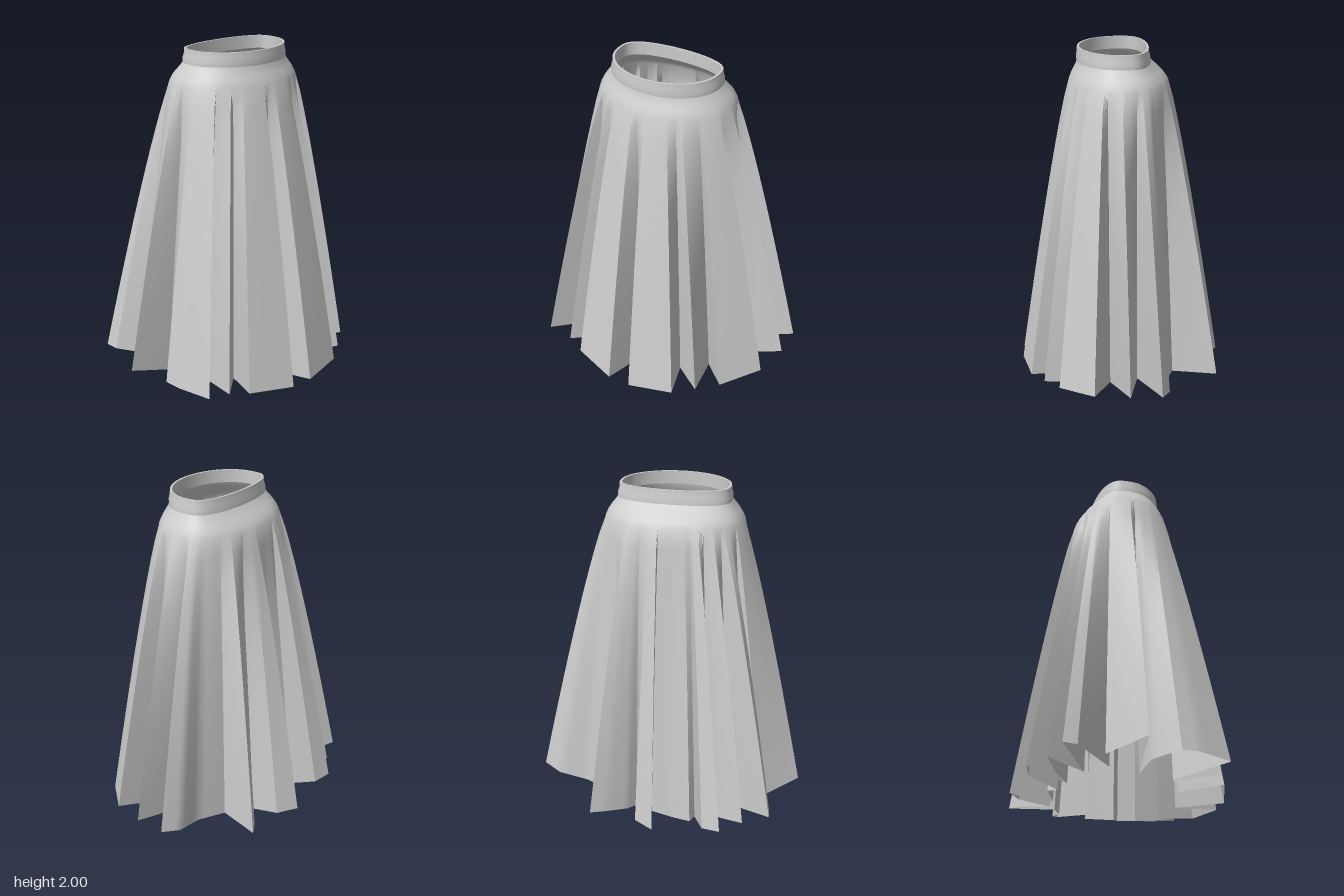
import * as THREE from 'three';
import { toCreasedNormals } from 'three/addons/utils/BufferGeometryUtils.js';

// Hem outline seen from above as x, z pairs: front centre, +x side, back, -x side
const HEM = [
  0.05, 0.61, 0.32, 0.55, 0.25, 0.31, 0.44, 0.47, 0.40, 0.21,
  0.56, 0.38, 0.74, 0.18, 0.42, 0.08, 0.79, -0.02, 0.43, -0.08,
  0.79, -0.20, 0.68, -0.25, 0.50, -0.24, 0.32, -0.30, 0.385, -0.56,
  0.30, -0.51, 0.19, -0.42, 0.15, -0.36, 0.11, -0.54, -0.01, -0.61,
  0.05, -0.37, -0.09, -0.38, -0.20, -0.43, -0.22, -0.38, -0.30, -0.55,
  -0.41, -0.58, -0.29, -0.34, -0.38, -0.42, -0.53, -0.49, -0.40, -0.27,
  -0.68, -0.44, -0.67, -0.36, -0.47, -0.15, -0.60, -0.20, -0.80, -0.02,
  -0.47, 0.01, -0.58, 0.05, -0.70, 0.18, -0.69, 0.28, -0.62, 0.47,
  -0.42, 0.21, -0.47, 0.47, -0.27, 0.28, -0.36, 0.52, -0.09, 0.61,
  -0.02, 0.34,
];
const SUB = 4; // columns per hem edge
const PLEAT_ROWS = 16;

// Point on a waist or hip ring: rounded in front, flatter at the back
function ring(a, { y, rx, front, back, pow = 0.6 }, cx = -0.015) {
  const c = Math.cos(a);
  const z = c > 0 ? front * c : -back * Math.pow(-c, pow);
  return new THREE.Vector3(cx + rx * Math.sin(a), y, z);
}

// Closed tube of quads from rows of points running downwards
function skin(rows, crease) {
  const n = rows[0].length;
  const index = [];
  for (let r = 0; r < rows.length - 1; r++) {
    for (let i = 0; i < n; i++) {
      const j = (i + 1) % n;
      const a = r * n + i, b = r * n + j, c = a + n, d = b + n;
      index.push(a, c, b, b, c, d);
    }
  }
  const geo = new THREE.BufferGeometry().setFromPoints(rows.flat());
  geo.setIndex(index);
  return toCreasedNormals(geo, crease);
}

// Hem corners with heights: higher at the sides, dipping at the back centre
function hemCorners() {
  const pts = [];
  for (let i = 0; i < HEM.length; i += 2) {
    const x = HEM[i], z = HEM[i + 1];
    let y = 0.06 + 0.17 * x * x;
    if (z < 0 && z > -0.5) y -= 0.06 * Math.max(0, 1 - Math.abs(x + 0.08) / 0.35);
    if (z > 0 && Math.hypot(x / 1.3, z) < 0.42) y -= 0.025;
    pts.push(new THREE.Vector3(x, Math.max(0, y), z));
  }
  return pts;
}

// Angle on the hip ring for each corner, kept in order where pleats lean over
function hipAngles(pts) {
  const full = Math.PI * 2;
  const raw = pts.map((p) => (Math.atan2(p.x / 1.35, p.z) + full) % full);
  const up = [...raw], down = [...raw];
  for (let i = 1; i < raw.length; i++) up[i] = Math.max(up[i], up[i - 1]);
  for (let i = raw.length - 2; i >= 0; i--) down[i] = Math.min(down[i], down[i + 1]);
  return raw.map((_, i) => 0.85 * (up[i] + down[i]) / 2 + 0.15 * full * (i + 0.5) / raw.length);
}

function pleatedSkirt() {
  const corners = hemCorners();
  const angles = hipAngles(corners);
  const hem = [], angle = [];
  corners.forEach((p, i) => {
    const j = (i + 1) % corners.length;
    const next = angles[j] + (j === 0 ? Math.PI * 2 : 0);
    for (let s = 0; s < SUB; s++) {
      hem.push(p.clone().lerp(corners[j], s / SUB));
      angle.push(angles[i] + (next - angles[i]) * s / SUB);
    }
  });
  // Smooth yoke over the hips
  const yoke = [
    { y: 1.925, rx: 0.325, front: 0.25, back: 0.17 },
    { y: 1.90, rx: 0.340, front: 0.255, back: 0.19, pow: 0.62 },
    { y: 1.87, rx: 0.365, front: 0.27, back: 0.225, pow: 0.66 },
    { y: 1.84, rx: 0.385, front: 0.285, back: 0.255, pow: 0.7 },
    { y: 1.81, rx: 0.400, front: 0.297, back: 0.277, pow: 0.75 },
  ];
  const rows = yoke.map((o) => angle.map((a) => ring(a, o)));
  // Pleats fan out from the hip ring to the hem
  const hip = rows[rows.length - 1];
  for (let r = 1; r <= PLEAT_ROWS; r++) {
    const t = r / PLEAT_ROWS;
    const spread = Math.pow(t, 0.86);
    rows.push(hem.map((h, i) => new THREE.Vector3(
      THREE.MathUtils.lerp(hip[i].x, h.x, spread),
      THREE.MathUtils.lerp(hip[i].y, h.y, t),
      THREE.MathUtils.lerp(hip[i].z, h.z, spread),
    )));
  }
  return skin(rows, 0.6);
}

function waistband() {
  const profile = [
    { y: 1.925, rx: 0.305, front: 0.235, back: 0.15 },
    { y: 2.0, rx: 0.305, front: 0.235, back: 0.15 },
    { y: 2.0, rx: 0.318, front: 0.248, back: 0.162 },
    { y: 1.97, rx: 0.320, front: 0.25, back: 0.165 },
    { y: 1.945, rx: 0.328, front: 0.254, back: 0.172 },
    { y: 1.92, rx: 0.328, front: 0.252, back: 0.174 },
  ];
  const angles = Array.from({ length: 72 }, (_, i) => i / 72 * Math.PI * 2);
  return skin(profile.map((o) => angles.map((a) => ring(a, o))), 0.7);
}

export function createModel() {
  const group = new THREE.Group();
  group.name = 'pleatedSkirt';
  const cloth = new THREE.MeshStandardMaterial({ color: 0xcccccc, side: THREE.DoubleSide });
  const add = (name, geo) => {
    const mesh = new THREE.Mesh(geo, cloth);
    mesh.name = name;
    group.add(mesh);
  };
  add('pleats', pleatedSkirt());
  add('waistband', waistband());
  return group;
}
